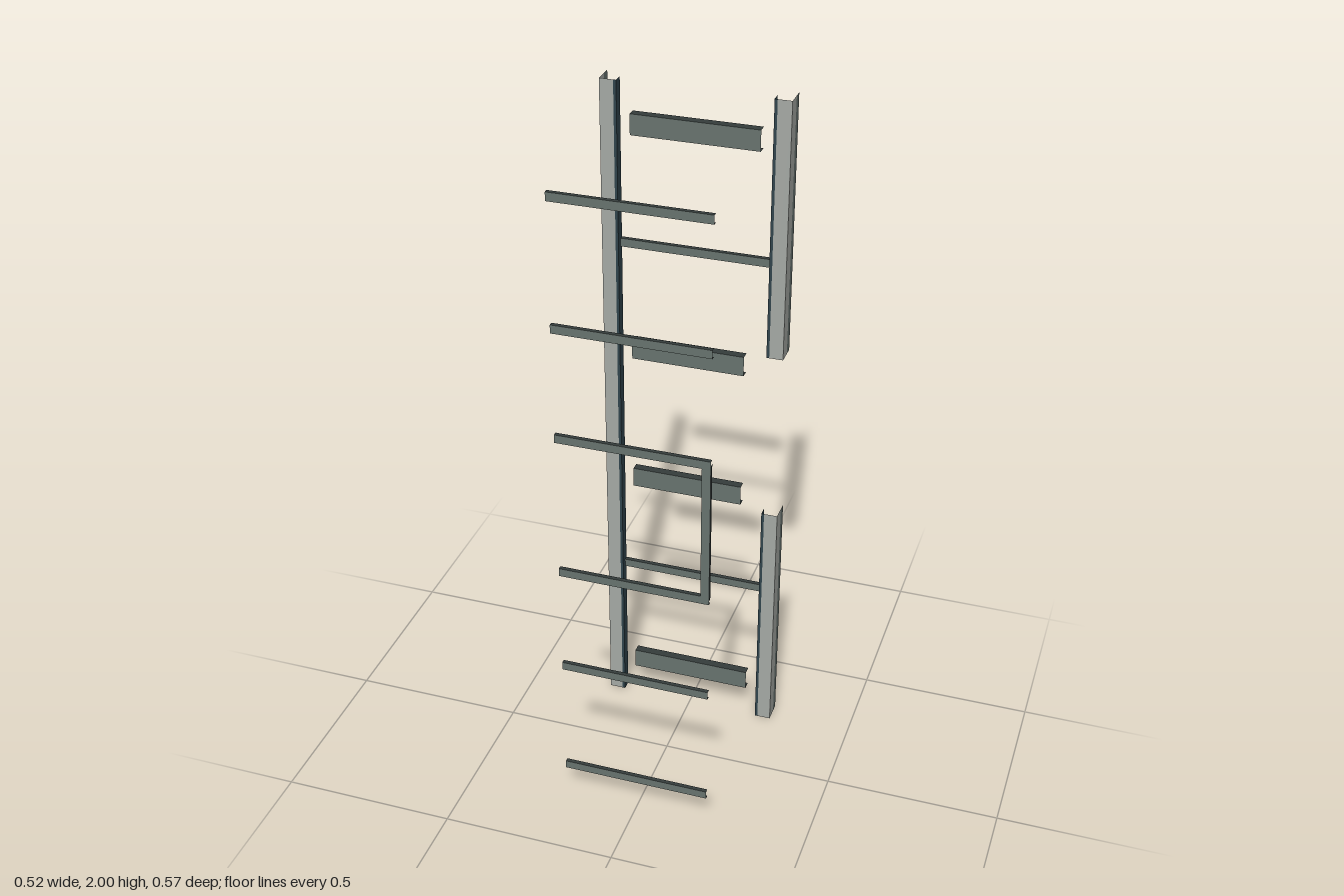
import * as THREE from 'three';

const mat = (name, color) => {
  const m = new THREE.MeshStandardMaterial({ color, side: THREE.DoubleSide });
  m.name = name;
  return m;
};

export function createModel() {
  const paleSteel = mat('pale steel', 0xa6aaa5);
  const greySteel = mat('grey steel', 0x68736f);
  const darkSteel = mat('dark steel', 0x353d3c);
  const blueSteel = mat('blue steel', 0x30444c);

  // Thin sheet, width along x and height along y before turning
  const sheet = (name, w, h, material, pos, rot = [0, 0, 0]) => {
    const m = new THREE.Mesh(new THREE.PlaneGeometry(w, h), material);
    m.name = name;
    m.position.set(...pos);
    m.rotation.set(...rot);
    return m;
  };

  // Folded channel along x: front web, flanges running back, open ends
  const channel = (name, length, height, depth) => {
    const g = new THREE.Group();
    g.name = name;
    g.add(sheet('web', length, height, greySteel, [0, 0, 0]));
    for (const s of [1, -1]) {
      g.add(sheet('flange', length, depth, darkSteel, [0, s * height / 2, -depth / 2], [-s * Math.PI / 2, 0, 0]));
    }
    return g;
  };

  // Folded angle post; side is +1 for the model's left, -1 for its right
  const post = (name, side, y0, y1) => {
    const g = new THREE.Group();
    g.name = name;
    const folds = [
      ['lip', 0.212, -0.251, 0.212, -0.222, blueSteel],
      ['frontEdge', 0.212, -0.222, 0.22, -0.222, blueSteel],
      ['frontFace', 0.22, -0.222, 0.259, -0.222, paleSteel],
      ['sideFace', 0.259, -0.222, 0.259, -0.262, paleSteel],
      ['sideEdge', 0.259, -0.262, 0.259, -0.286, greySteel],
    ];
    for (const [part, xa, za, xb, zb, material] of folds) {
      const dx = side * (xb - xa), dz = zb - za;
      g.add(sheet(part, Math.hypot(dx, dz), y1 - y0, material,
        [side * (xa + xb) / 2, (y0 + y1) / 2, (za + zb) / 2], [0, Math.atan2(-dz, dx), 0]));
    }
    return g;
  };

  const model = new THREE.Group();
  model.name = 'ladderFrame';

  // Uprights: one full length, the other with a gap in the middle
  model.add(post('rightPost', -1, 0, 2));
  model.add(post('lowerLeftPost', 1, 0, 0.747));
  model.add(post('upperLeftPost', 1, 1.257, 2));

  const place = (part, x, y, z) => {
    part.position.set(x, y, z);
    model.add(part);
  };

  // Six front rungs
  for (const y of [0.11, 0.47, 0.79, 1.212, 1.532, 1.89]) {
    place(channel('frontRung', 0.424, 0.024, 0.012), 0, y, 0.288);
  }
  // Upright joining the two middle front rungs
  const link = channel('frontLink', 0.422, 0.024, 0.012);
  link.rotation.z = Math.PI / 2;
  place(link, 0.2, 1.001, 0.288);

  // Two slim back rungs
  for (const y of [0.47, 1.532]) {
    place(channel('backRung', 0.424, 0.024, 0.013), 0, y, -0.24);
  }
  // Four deep back channels, the middle pair shorter
  for (const [y, x1] of [[0.124, 0.178], [0.79, 0.147], [1.214, 0.147], [1.88, 0.178]]) {
    place(channel('backChannel', x1 + 0.178, 0.059, 0.025), (x1 - 0.178) / 2, y, -0.228);
  }
  return model;
}
